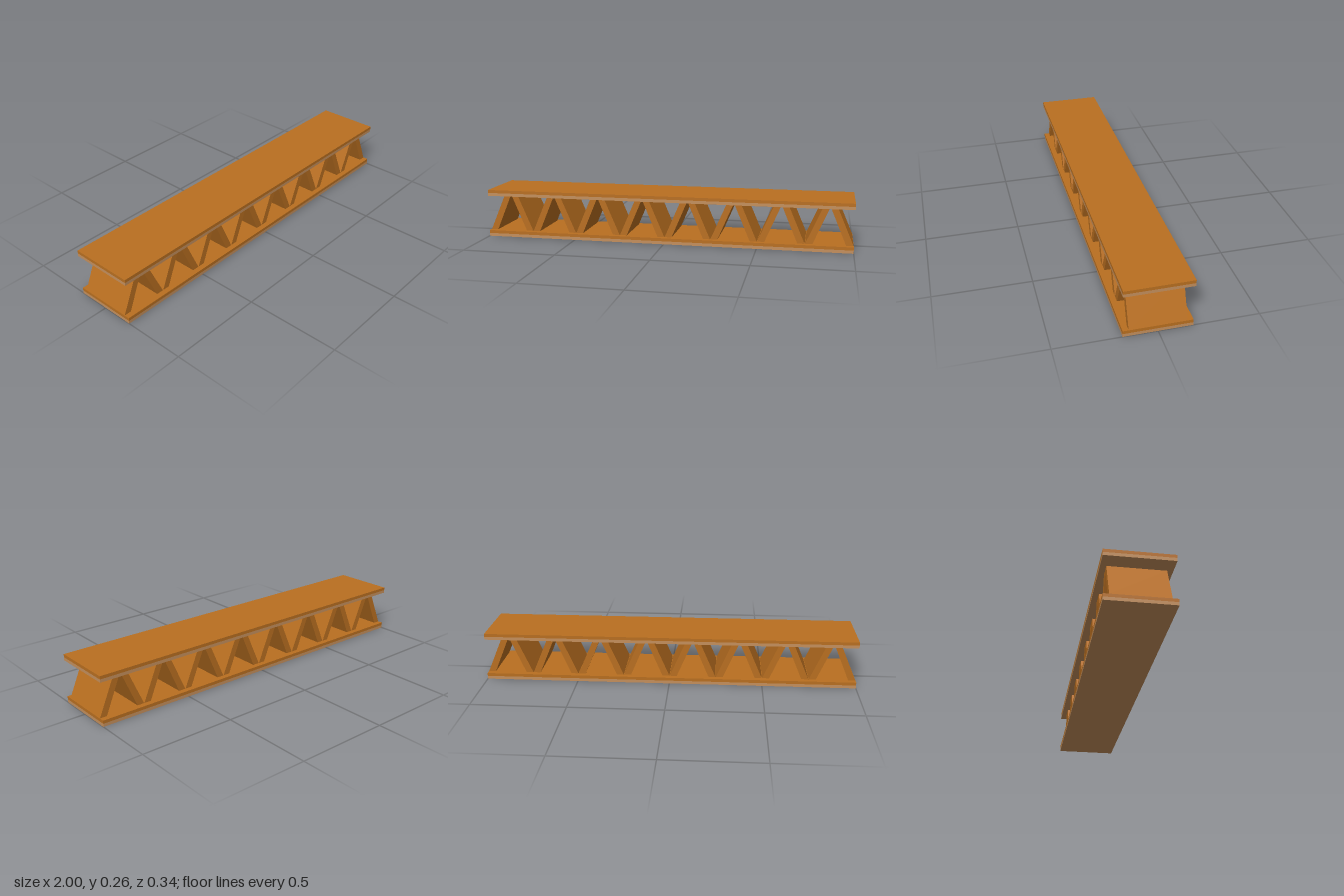
import * as THREE from 'three';

const upperWood = new THREE.MeshStandardMaterial({ color: 0xb96f20, flatShading: true });
const lowerWood = new THREE.MeshStandardMaterial({ color: 0xc48f5c, flatShading: true });

const LENGTH = 2, PLATE_DEPTH = 0.34, LAYER = 0.0165;
const WEB_DEPTH = 0.282, WEB_BOTTOM = 0.033, WEB_TOP = 0.229;
const BAYS = 8, BAY = LENGTH / BAYS;

// A flange made of two bonded layers
function makeFlange(name, y) {
  const flange = new THREE.Group();
  flange.name = name;
  const geometry = new THREE.BoxGeometry(LENGTH, LAYER, PLATE_DEPTH);
  [['lowerLayer', lowerWood], ['upperLayer', upperWood]].forEach(([layerName, material], i) => {
    const layer = new THREE.Mesh(geometry, material);
    layer.name = layerName;
    layer.position.y = y + LAYER * (i + 0.5);
    flange.add(layer);
  });
  return flange;
}

// A slanted web slab, leaning toward the middle of its bay; side is -1 or 1
function makeStrutGeometry(side) {
  const shape = new THREE.Shape([
    [0.124, WEB_BOTTOM], [0.086, WEB_BOTTOM], [0.003, WEB_TOP], [0.039, WEB_TOP],
  ].map(([x, y]) => new THREE.Vector2(x * side, y)));
  return new THREE.ExtrudeGeometry(shape, { depth: WEB_DEPTH, bevelEnabled: false })
    .translate(0, 0, -WEB_DEPTH / 2);
}

export function createModel() {
  const model = new THREE.Group();
  model.name = 'trussBeam';
  model.add(makeFlange('bottomFlange', 0), makeFlange('topFlange', WEB_TOP));

  // Zigzag web: one mirrored pair of slabs per bay
  const web = new THREE.Group();
  web.name = 'web';
  for (const side of [-1, 1]) {
    const geometry = makeStrutGeometry(side);
    for (let i = 0; i < BAYS; i++) {
      const strut = new THREE.Mesh(geometry, upperWood);
      strut.name = side < 0 ? 'rightStrut' : 'leftStrut';
      strut.position.x = -LENGTH / 2 + (i + 0.5) * BAY;
      web.add(strut);
    }
  }
  model.add(web);
  return model;
}
